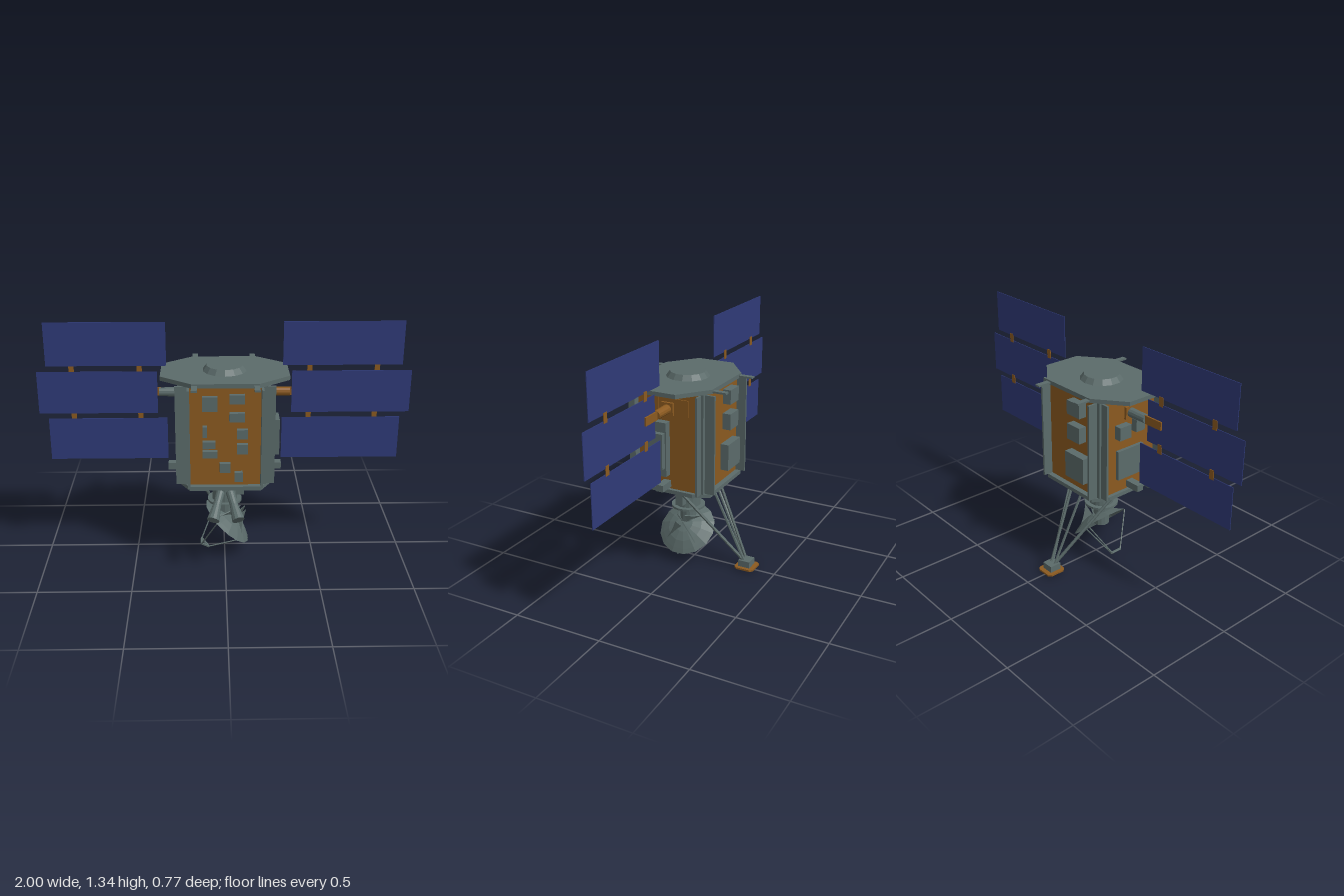
import * as THREE from 'three';

const mat = (color) => new THREE.MeshStandardMaterial({ color, flatShading: true, side: THREE.DoubleSide });
const GREY = mat(0x5b6b6a), ORANGE = mat(0x8b5a20), NAVY = mat(0x2f3a78);
const CZ = 0.04; // z of the spacecraft's main axis
const V = (x, y, z) => new THREE.Vector3(x, y, z);
const UP = V(0, 1, 0);

export function createModel() {
  const root = new THREE.Group();
  root.name = 'spaceProbe';

  const add = (name, geo, material = GREY, parent = root) => {
    const m = new THREE.Mesh(geo, material);
    m.name = name;
    parent.add(m);
    return m;
  };
  // Box given by its extents on each axis
  const box = (name, x0, x1, y0, y1, z0, z1, material = GREY) => {
    const m = add(name, new THREE.BoxGeometry(x1 - x0, y1 - y0, z1 - z0), material);
    m.position.set((x0 + x1) / 2, (y0 + y1) / 2, (z0 + z1) / 2);
    return m;
  };
  // Round bar between two points, r0 at a and r1 at b
  const bar = (name, a, b, r0, r1 = r0, sides = 8, material = GREY) => {
    const m = add(name, new THREE.CylinderGeometry(r1, r0, a.distanceTo(b), sides), material);
    m.position.copy(a).add(b).multiplyScalar(0.5);
    m.quaternion.setFromUnitVectors(UP, b.clone().sub(a).normalize());
    return m;
  };
  // Flat octagonal prism: half sizes hx, hz and half lengths of the straight edges fx, fz
  const octagon = (name, hx, hz, fx, fz, y0, y1, material = GREY, z = CZ) => {
    const pts = [[fx, hz], [hx, fz], [hx, -fz], [fx, -hz], [-fx, -hz], [-hx, -fz], [-hx, fz], [-fx, hz]];
    const shape = new THREE.Shape(pts.map(([x, y]) => new THREE.Vector2(x, y)));
    const geo = new THREE.ExtrudeGeometry(shape, { depth: y1 - y0, bevelEnabled: false });
    geo.rotateX(-Math.PI / 2);
    const m = add(name, geo, material);
    m.position.set(0, y0, z);
    return m;
  };

  // Foil-wrapped body between two deck plates, with a low cap on top
  octagon('body', 0.22, 0.205, 0.19, 0.18, 0.515, 1.08, ORANGE);
  octagon('topDeck', 0.34, 0.235, 0.175, 0.108, 1.075, 1.098);
  octagon('bottomDeck', 0.24, 0.235, 0.19, 0.15, 0.498, 0.52);
  add('topCap', new THREE.CylinderGeometry(0.098, 0.12, 0.03, 14)).position.set(0, 1.112, CZ);

  // Corner fins, corner posts and deck tabs
  for (const sx of [-1, 1]) for (const sz of [-1, 1]) {
    const put = (name, x, z, w, d, y0, y1) =>
      box(name, sx * x - w / 2, sx * x + w / 2, y0, y1, CZ + sz * z - d / 2, CZ + sz * z + d / 2);
    put('cornerFin', 0.192, 0.226, 0.012, 0.068, 0.52, 1.07);
    put('cornerFin', 0.23, 0.187, 0.064, 0.012, 0.52, 1.07);
    put('cornerPost', 0.204, 0.193, 0.028, 0.024, 0.52, 1.075);
    put('deckTab', 0.16, 0.26, 0.03, 0.106, 1.08, 1.09);
  }

  // Instrument boxes on the front: x0, x1, y0, y1
  [[-0.12, -0.04, 0.945, 1.025], [0.02, 0.1, 0.985, 1.035], [0.02, 0.1, 0.887, 0.935],
    [-0.12, -0.095, 0.8, 0.86], [0.06, 0.118, 0.79, 0.843], [-0.12, -0.053, 0.737, 0.775],
    [0.06, 0.118, 0.705, 0.76], [-0.12, -0.042, 0.684, 0.722], [-0.03, 0.027, 0.6, 0.652],
    [0.048, 0.092, 0.545, 0.6]].forEach(([a, b, c, d]) => box('frontInstrument', a, b, c, d, 0.24, 0.27));

  // Instrument boxes on the back
  [[-0.11, -0.01, 0.965, 1.045], [-0.11, -0.01, 0.82, 0.91], [-0.14, 0.01, 0.59, 0.74]]
    .forEach(([a, b, c, d]) => box('backInstrument', a, b, c, d, -0.212, -0.16));

  // Left side: stepped electronics box and two foil patches
  box('sideElectronicsBase', 0.21, 0.262, 0.6, 0.905, 0.033, 0.16);
  box('sideElectronicsCover', 0.26, 0.292, 0.65, 0.85, 0.04, 0.15);
  for (const [z0, z1] of [[0.095, 0.178], [-0.08, -0.003]])
    box('sidePatch', 0.21, 0.226, 0.942, 1.033, z0, z1, ORANGE);

  // Right side: two small boxes and a radiator
  box('sideBox', -0.262, -0.21, 0.845, 0.92, -0.06, 0.02);
  box('sideBox', -0.258, -0.21, 0.86, 0.93, 0.06, 0.12);
  box('sideRadiator', -0.24, -0.21, 0.6, 0.77, -0.05, 0.13);

  // Solar wings, mirrored
  for (const s of [-1, 1]) {
    const span = (name, a, b, y0, y1, z0, z1, m) =>
      box(name, Math.min(s * a, s * b), Math.max(s * a, s * b), y0, y1, z0, z1, m);
    span('solarPanel', 0.36, 1, 0.855, 1.09, 0.039, 0.043, NAVY);
    span('solarPanel', 0.31, 0.948, 1.122, 1.36, 0.039, 0.043, NAVY);
    span('solarPanel', 0.31, 0.952, 0.587, 0.825, 0.039, 0.043, NAVY);
    for (const x of [0.44, 0.8]) for (const y of [0.815, 1.08])
      span('panelHinge', x, x + 0.028, y, y + 0.052, 0.036, 0.04, ORANGE);
    // Yoke and its drive
    span('panelYoke', 0.34, 0.465, 0.952, 0.998, 0.03, 0.039, ORANGE);
    span('driveMount', 0.215, 0.235, 0.94, 1.01, 0.005, 0.075, ORANGE);
    bar('driveArm', V(s * 0.22, 0.975, CZ), V(s * 0.35, 0.975, CZ), 0.026, 0.024, 12, s > 0 ? ORANGE : GREY);
    span('sideFoot', 0.21, 0.31, 0.53, 0.568, 0.027, 0.07);
  }

  // Lower barrel, flange and dish neck
  bar('lowerBarrel', V(0, 0.335, CZ), V(0, 0.5, CZ), 0.07, 0.07, 18);
  bar('barrelFlange', V(0, 0.33, CZ), V(0, 0.342, CZ), 0.096, 0.096, 18);
  bar('dishNeck', V(0, 0.2, CZ), V(0, 0.335, CZ), 0.046, 0.046, 14);
  box('barrelBox', 0.05, 0.108, 0.368, 0.48, 0.02, 0.065);

  // Tilted dish; local +y is the direction it looks
  const dish = new THREE.Group();
  dish.name = 'dishAntenna';
  dish.position.set(0.014, 0.192, CZ);
  dish.quaternion.setFromUnitVectors(UP, V(-0.68, -0.733, 0).normalize());
  root.add(dish);
  const bowl = [[0, -0.06], [0.05, -0.054], [0.1, -0.037], [0.14, -0.015], [0.165, 0]];
  add('dishBowl', new THREE.LatheGeometry(bowl.map(([r, y]) => new THREE.Vector2(r, y)), 14), GREY, dish);
  const polar = (r, y, a) => V(r * Math.cos(a), y, r * Math.sin(a));
  const feed = [0, 1, 2].map((i) => polar(0.036, 0.195, Math.PI + i * Math.PI * 2 / 3));
  feed.forEach((p, i) => {
    const rim = polar(0.163, 0, Math.PI + i * Math.PI * 2 / 3);
    dish.add(bar('feedStrut', rim, p, 0.004, 0.004, 5));
    dish.add(bar('feedFrame', p, feed[(i + 1) % 3], 0.007, 0.007, 5));
  });
  // Thin ribs joining the neck to the back of the bowl
  const ribShape = new THREE.Shape();
  ribShape.moveTo(0.02, -0.055);
  ribShape.lineTo(0.125, -0.022);
  ribShape.quadraticCurveTo(0.07, -0.06, 0.03, -0.13);
  for (const a of [0.25, 0.75, 1.25, 1.75]) {
    const rib = add('dishRib', new THREE.ExtrudeGeometry(ribShape, { depth: 0.006, bevelEnabled: false }), GREY, dish);
    rib.rotation.y = a * Math.PI;
  }

  // Pair of thrusters under the front edge
  for (const s of [-1, 1]) {
    const a = V(s * 0.026, 0.47, 0.235), b = V(s * 0.067, 0.366, 0.362);
    const p = a.clone().lerp(b, 0.45);
    bar('thrusterBody', a, p, 0.024, 0.022, 12);
    bar('thrusterNozzle', p, b, 0.022, 0.034, 12);
    bar('thrusterBracket', V(s * 0.026, 0.5, 0.235), V(s * 0.03, 0.435, 0.232), 0.016, 0.01, 6);
  }

  // Outrigger struts meeting at a foot behind the body
  for (const s of [-1, 1]) {
    bar('footStrut', V(s * 0.19, 0.505, 0), V(s * 0.012, 0.07, -0.315), 0.009, 0.009, 6);
    bar('footStrut', V(s * 0.045, 0.505, -0.13), V(s * 0.015, 0.07, -0.32), 0.008, 0.008, 6);
  }
  box('footBlock', -0.035, 0.035, 0.035, 0.075, -0.363, -0.295);
  octagon('footPad', 0.056, 0.057, 0.04, 0.041, 0.028, 0.038, ORANGE, -0.332);

  return root;
}
